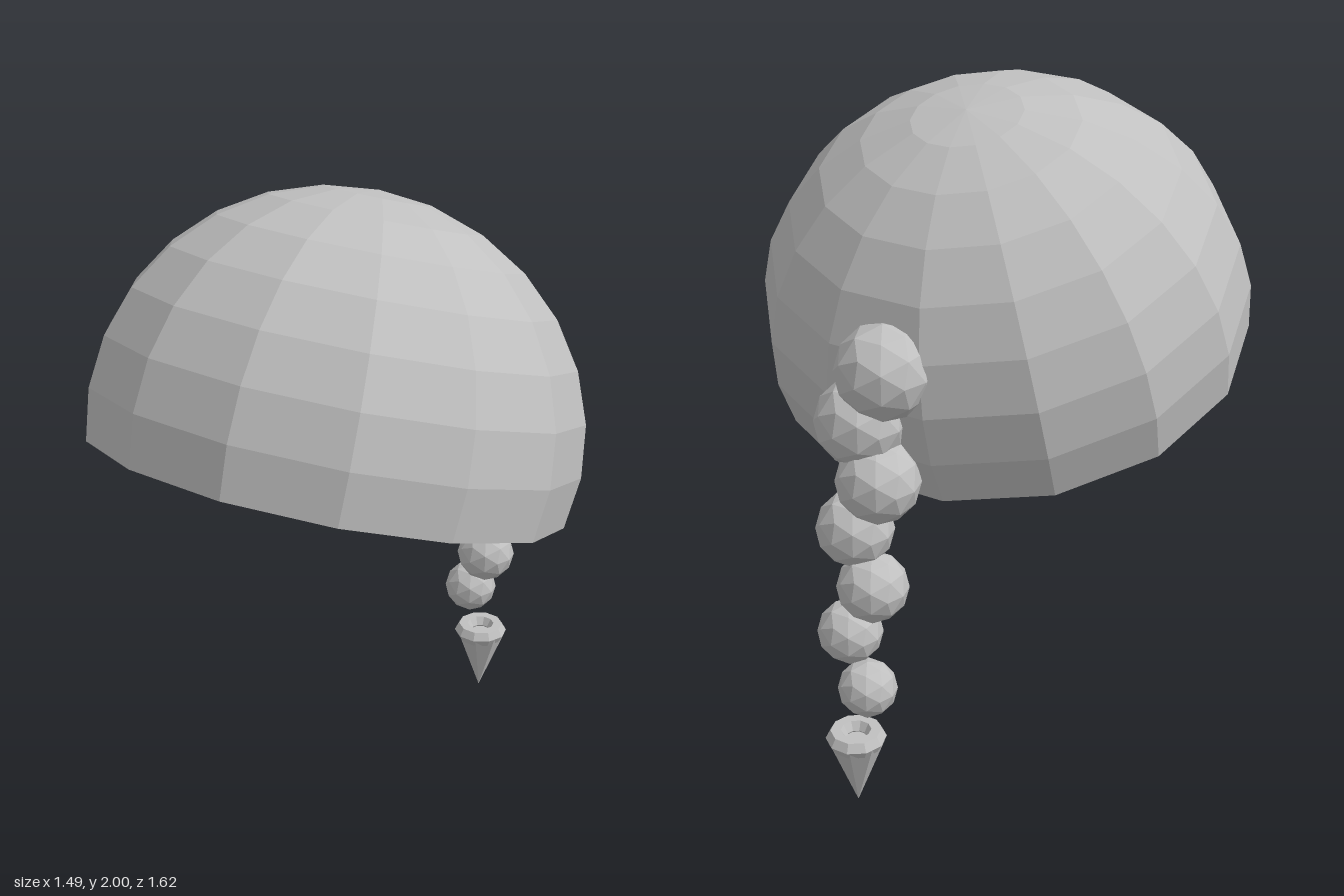
import * as THREE from 'three';

export function createModel() {
  const model = new THREE.Group();
  model.name = 'braidedHair';
  const hair = new THREE.MeshStandardMaterial({ color: 0xc0c0c0 });
  hair.name = 'hairGrey';
  hair.flatShading = true;
  hair.side = THREE.DoubleSide;

  const add = (name, geometry, x, y, z) => {
    const mesh = new THREE.Mesh(geometry, hair);
    mesh.name = name;
    mesh.position.set(x, y, z);
    model.add(mesh);
    return mesh;
  };

  // Open cap: a little more than half a sphere, raised at the forehead
  const cap = add('hairCap',
    new THREE.SphereGeometry(1, 14, 8, 0, Math.PI * 2, 0, Math.PI * 0.57),
    0, 1.31, 0.112);
  cap.scale.set(0.745, 0.695, 0.72);
  cap.rotation.x = -0.319;

  // Braid: shrinking beads, swinging from side to side
  for (let i = 0; i < 7; i++) {
    add('braidBead' + (i + 1),
      new THREE.IcosahedronGeometry(0.14 - i * 0.0088, 1),
      i % 2 ? 0.035 : -0.035, 1.36 - i * 0.16, -0.585 - i * 0.02);
  }

  // Hair tie around the top of the tail
  const tie = add('hairTie', new THREE.TorusGeometry(0.06, 0.03, 6, 10), 0, 0.225, -0.723);
  tie.rotation.x = Math.PI / 2;

  // Pointed tail end
  const tail = add('braidTip', new THREE.ConeGeometry(0.085, 0.22, 8), 0, 0.11, -0.723);
  tail.rotation.x = Math.PI;
  tail.rotation.y = Math.PI / 8;

  return model;
}
